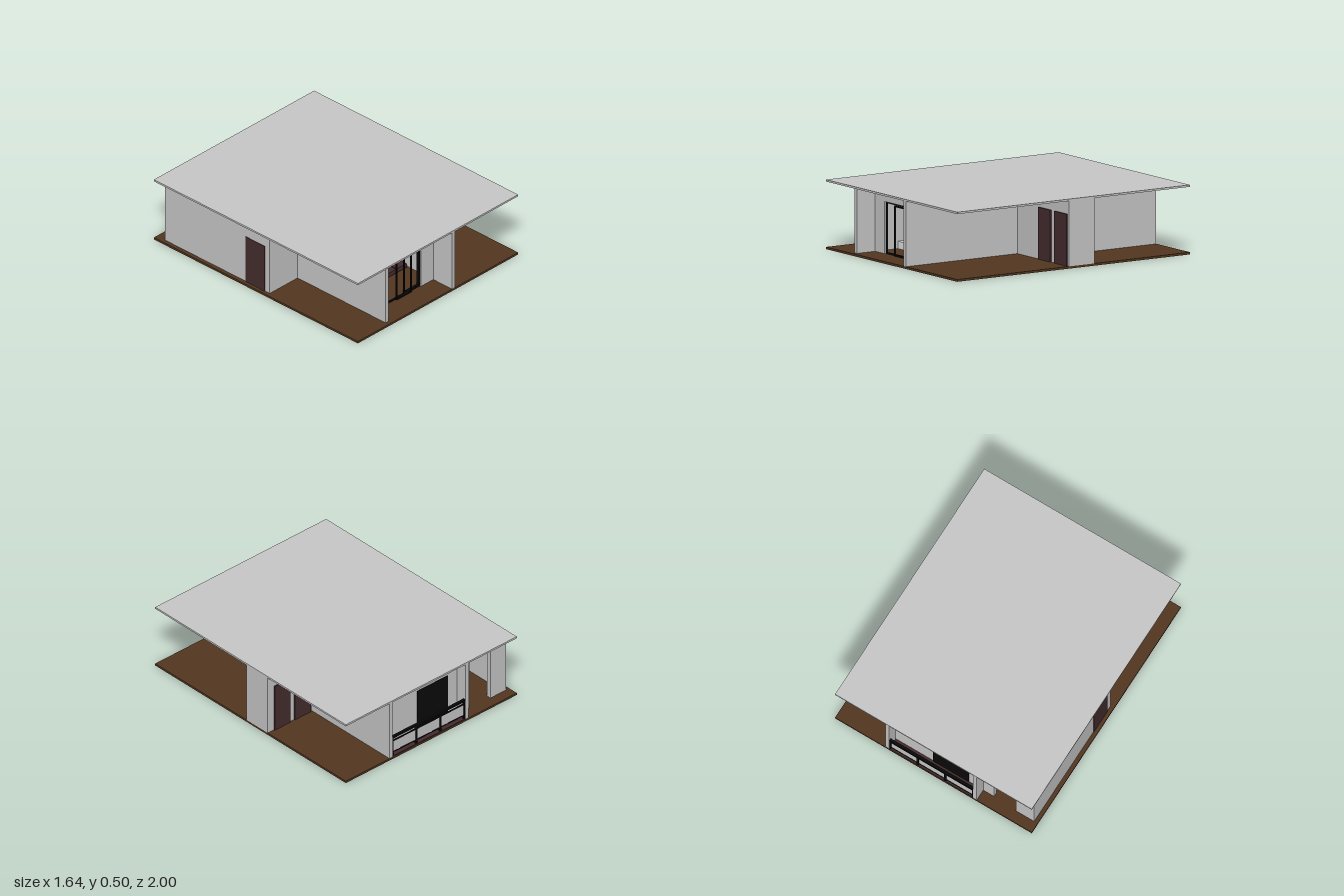
import * as THREE from 'three';

export function createModel() {
  const model = new THREE.Group();
  model.name = 'house';
  const mat = (name, color) => {
    const m = new THREE.MeshStandardMaterial({ color });
    m.name = name;
    return m;
  };
  const plaster = mat('light grey plaster', 0xc8c8c8);
  const timber = mat('brown floor', 0x533720);
  const maroon = mat('maroon', 0x452c2e);
  const black = mat('black metal', 0x0a0a0a);
  const oak = mat('oak', 0x6f4a24);
  const white = mat('white', 0xe8e8e8);

  // Box given by its limits on each axis
  const box = (name, m, x0, x1, y0, y1, z0, z1, parent = model) => {
    const mesh = new THREE.Mesh(new THREE.BoxGeometry(x1 - x0, y1 - y0, z1 - z0), m);
    mesh.position.set((x0 + x1) / 2, (y0 + y1) / 2, (z0 + z1) / 2);
    mesh.name = name;
    parent.add(mesh);
    return mesh;
  };
  const group = (name) => {
    const g = new THREE.Group();
    g.name = name;
    model.add(g);
    return g;
  };

  // Slab and flat roof
  const F = 0.016, C = 0.486, H = 0.39;
  box('floorSlab', timber, -0.82, 0.82, 0, F, -1, 1);
  box('roof', plaster, -0.82, 0.82, C, 0.5, -1, 1);

  // Full height walls: x0, x1, z0, z1
  const walls = group('walls');
  [
    [-0.505, -0.475, 0.107, 0.97],  // porch, left side
    [0.145, 0.175, 0.04, 0.998],    // porch and living room, right side
    [-0.79, -0.475, 0.077, 0.107],  // entrance wing, front
    [-0.79, -0.76, -0.92, 0.077],   // entrance wing, side
    [-0.76, -0.64, -0.92, -0.885],  // entrance wing, back return
    [0.175, 0.82, 0.01, 0.04],      // side wing, front
    [0.37, 0.82, -0.18, -0.15],     // side wing, back
    [0.79, 0.82, -0.15, 0.01],      // side wing, end
    [0.37, 0.4, -0.998, -0.18],     // balcony and bedroom side
    [-0.36, -0.33, -0.998, -0.91],  // balcony far side
    [-0.475, -0.355, 0.785, 0.815], // either side of the front opening
    [0.02, 0.145, 0.785, 0.815],
    [-0.45, -0.24, -0.91, -0.88],   // either side of the balcony door
    [0.055, 0.37, -0.91, -0.88],
  ].forEach(([x0, x1, z0, z1]) => box('wall', plaster, x0, x1, F, C, z0, z1, walls));
  box('frontLintel', plaster, -0.355, 0.02, H, C, 0.785, 0.815, walls);
  box('balconyLintel', plaster, -0.24, 0.055, H, C, -0.91, -0.88, walls);
  box('innerWallPanel', white, -0.45, -0.24, F, H, -0.88, -0.875);

  // Room doors on both sides of the side wing, and the entrance door
  const doors = group('doors');
  for (const x of [0.45, 0.65]) box('frontRoomDoor', maroon, x, x + 0.15, F, H, 0.04, 0.05, doors);
  for (const x of [0.415, 0.61]) box('backRoomDoor', maroon, x, x + 0.15, F, H, -0.19, -0.18, doors);
  box('entranceDoor', maroon, -0.794, -0.79, F, H, -0.126, 0.06, doors);

  // Black rectangular frame
  const frame = (g, x0, x1, y0, y1, z, t) => {
    box('stile', black, x0, x0 + t, y0, y1, z - 0.006, z + 0.006, g);
    box('stile', black, x1 - t, x1, y0, y1, z - 0.006, z + 0.006, g);
    box('topRail', black, x0 + t, x1 - t, y1 - t, y1, z - 0.006, z + 0.006, g);
    box('bottomRail', black, x0 + t, x1 - t, y0, y0 + t, z - 0.006, z + 0.006, g);
  };

  // Front sliding door, its panels slid towards one side
  const slider = group('slidingDoor');
  frame(slider, -0.355, 0.02, F, H, 0.8, 0.01);
  frame(slider, -0.235, -0.075, F, H - 0.01, 0.813, 0.01);
  frame(slider, -0.13, 0.02, F, H - 0.01, 0.787, 0.01);

  // Dark balcony door
  box('balconyDoor', black, -0.24, 0.055, F, H, -0.914, -0.876);

  // Balcony floor and railing
  const balcony = group('balcony');
  box('balconyFloor', maroon, -0.33, 0.37, F, 0.022, -0.997, -0.91, balcony);
  for (let i = 0; i < 4; i++) {
    const x = -0.325 + i * 0.23;
    box('railingPost', black, x - 0.008, x + 0.008, F, 0.17, -0.995, -0.98, balcony);
    if (i < 3) box('railingPanel', plaster, x + 0.008, x + 0.222, 0.055, 0.14, -0.99, -0.986, balcony);
  }
  box('handrail', black, -0.33, 0.37, 0.17, 0.184, -0.998, -0.977, balcony);
  box('middleRail', black, -0.33, 0.37, 0.14, 0.148, -0.992, -0.983, balcony);
  box('lowerRail', black, -0.33, 0.37, 0.047, 0.055, -0.992, -0.983, balcony);

  // Sofa
  const sofa = group('sofa');
  box('sofaBase', maroon, -0.2, 0.12, 0.028, 0.05, 0.3, 0.58, sofa);
  for (const x of [-0.198, -0.09, 0.018]) {
    box('seatCushion', maroon, x, x + 0.1, 0.05, 0.062, 0.36, 0.58, sofa);
    box('backCushion', maroon, x, x + 0.1, 0.05, 0.085, 0.3, 0.35, sofa);
  }
  for (const x of [-0.19, 0.1]) for (const z of [0.31, 0.56])
    box('sofaFoot', black, x, x + 0.01, F, 0.028, z, z + 0.01, sofa);

  // Tables: a top on four legs
  const table = (name, x0, x1, z0, z1, top) => {
    const g = group(name);
    box('tableTop', oak, x0, x1, top - 0.012, top, z0, z1, g);
    for (const x of [x0, x1 - 0.012]) for (const z of [z0, z1 - 0.012])
      box('tableLeg', oak, x, x + 0.012, F, top - 0.012, z, z + 0.012, g);
  };
  table('sideTable', -0.255, -0.205, 0.4, 0.56, 0.075);
  table('diningTable', -0.18, 0.08, -0.45, -0.25, 0.11);

  // Dining chairs on both sides of the table
  for (const x of [-0.13, -0.02]) for (const s of [-1, 1]) {
    const g = group('chair'), z = -0.35 + s * 0.13;
    box('chairSeat', oak, x, x + 0.05, 0.07, 0.08, z - 0.025, z + 0.025, g);
    const b = z + s * 0.025;
    box('chairBack', oak, x, x + 0.05, 0.08, 0.15, b - 0.004, b + 0.004, g);
    for (const dx of [0, 0.042]) for (const dz of [-0.025, 0.017])
      box('chairLeg', black, x + dx, x + dx + 0.008, F, 0.07, z + dz, z + dz + 0.008, g);
  }

  // Low bench along the wall and a tall cabinet near the entrance
  box('bench', white, -0.475, -0.38, F, 0.07, 0.2, 0.62);
  box('tallCabinet', black, -0.42, -0.37, F, 0.38, -0.62, -0.56);

  return model;
}
